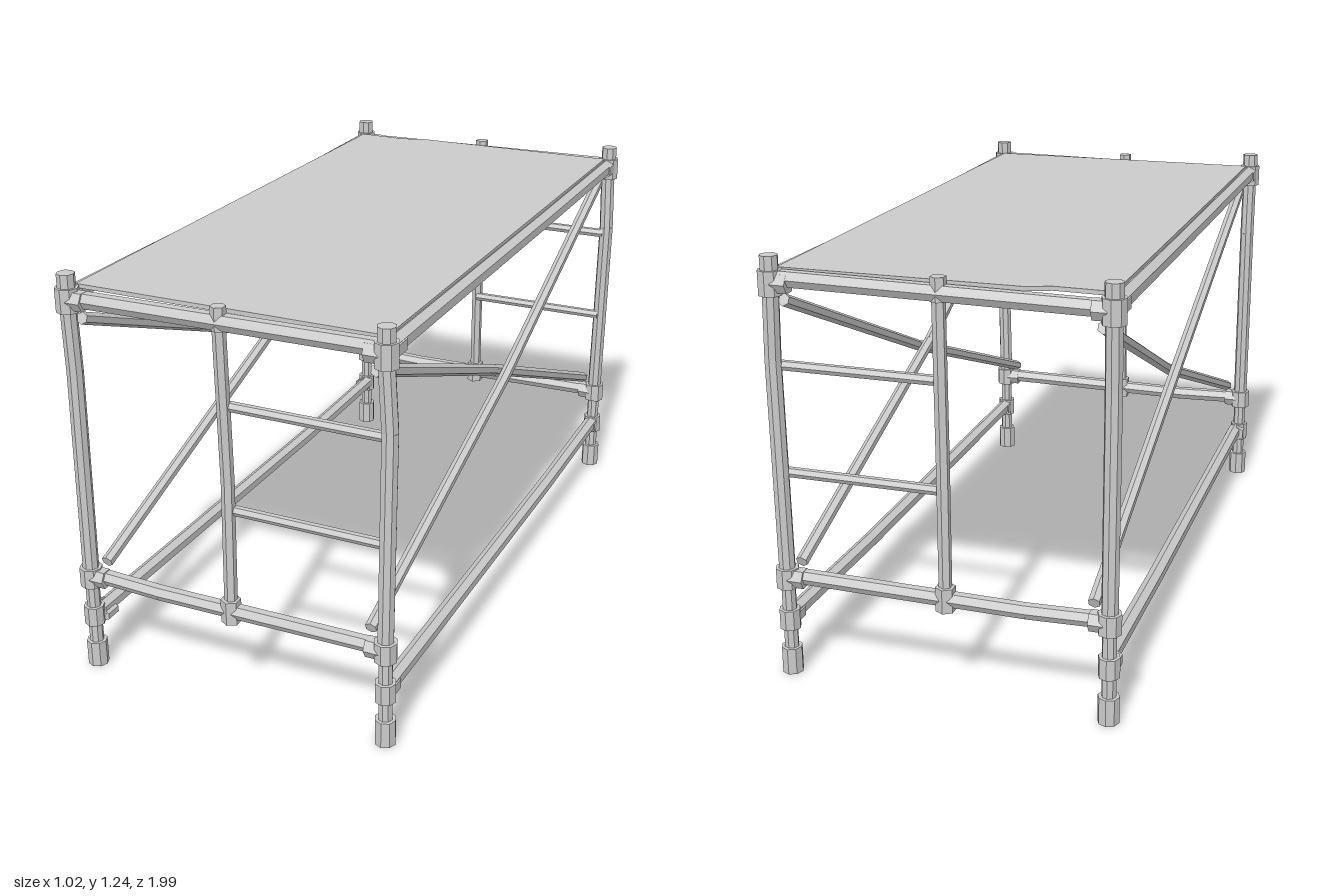
import * as THREE from 'three';

const mat = new THREE.MeshStandardMaterial({ color: 0xcccccc, flatShading: true });
const UP = new THREE.Vector3(0, 1, 0);

// Faceted bar through a few points
function bar(parent, name, points, radius, sides = 6) {
  const group = new THREE.Group();
  group.name = name;
  const pts = points.map(p => new THREE.Vector3(...p));
  for (let i = 0; i < pts.length - 1; i++) {
    const dir = pts[i + 1].clone().sub(pts[i]);
    const geo = new THREE.CylinderGeometry(radius, radius, dir.length(), sides);
    const mesh = new THREE.Mesh(geo, mat);
    mesh.name = name;
    mesh.position.copy(pts[i]).add(pts[i + 1]).multiplyScalar(0.5);
    mesh.quaternion.setFromUnitVectors(UP, dir.normalize());
    group.add(mesh);
  }
  parent.add(group);
}

export function createModel() {
  const model = new THREE.Group();
  model.name = 'scaffold';

  // Corner legs: foot, screw jack, collars, bent post and top spigot
  const X = 0.475;
  for (const sx of [-1, 1]) for (const sz of [-1, 1]) {
    const x = sx * X, z = sz * 0.963;
    const leg = new THREE.Group();
    leg.name = 'cornerLeg';
    const v = (name, y0, y1, r) => bar(leg, name, [[x, y0, z], [x, y1, z]], r, 8);
    v('foot', 0, 0.08, 0.031);
    v('jack', 0.08, 0.28, 0.021);
    v('lowerCollar', 0.14, 0.2, 0.031);
    v('middleCollar', 0.27, 0.33, 0.034);
    v('upperCollar', 1.13, 1.2, 0.034);
    v('spigot', 1.2, 1.24, 0.026);
    const bow = sx > 0 ? 0.008 : 0;
    bar(leg, 'post', [[x, 0.32, z], [x + bow, 0.95, z - sz * 0.006], [x, 1.14, z]], 0.024, 8);
    // Stubs gripping the rails
    for (const y of [0.3, 1.165]) bar(leg, 'endRailSocket', [[x, y, z], [x - sx * 0.055, y, z]], 0.03);
    bar(leg, 'sideRailSocket', [[x, 1.17, z], [x, 1.17, z - sz * 0.07]], 0.03);
    bar(leg, 'bottomRailSocket', [[x, 0.17, z], [x, 0.17, z - sz * 0.05]], 0.028);
    model.add(leg);
  }

  // End frames: two rails, a middle post and two rungs on the left half
  for (const sz of [-1, 1]) {
    const z = sz * 0.96;
    const frame = new THREE.Group();
    frame.name = sz > 0 ? 'frontFrame' : 'backFrame';
    bar(frame, 'lowerEndRail', [[-X, 0.305, z], [-0.24, 0.298, z], [X, 0.305, z]], 0.023);
    bar(frame, 'upperEndRail', [[-X, 1.168, z], [X, 1.178, z]], 0.025);
    bar(frame, 'middlePost', [[-0.005, 0.28, z], [-0.003, 0.7, z - sz * 0.008], [-0.005, 1.17, z]], 0.019);
    bar(frame, 'middleLowerClamp', [[-0.005, 0.265, z], [-0.005, 0.337, z]], 0.029);
    bar(frame, 'middleUpperClamp', [[-0.005, 1.15, z], [-0.005, 1.217, z]], 0.022);
    for (const y of [0.615, 0.928])
      bar(frame, 'rung', [[0, y, z - sz * 0.015], [X, y, z - sz * 0.015]], 0.015);
    model.add(frame);
  }

  // Long rails and crossed braces on both sides
  for (const sx of [-1, 1]) {
    const x = sx * X;
    const side = new THREE.Group();
    side.name = sx > 0 ? 'leftSide' : 'rightSide';
    const xLow = sx > 0 ? x : -0.465;
    bar(side, 'bottomRail', [[xLow, 0.177, 0.95], [xLow, 0.168, -0.4], [xLow, 0.177, -0.95]], 0.024);
    bar(side, 'topRail', [[x, 1.175, 0.95], [x - sx * 0.005, 1.168, -0.2], [x, 1.175, -0.95]], 0.026);
    const rise = sx > 0 ? 0.442 : 0.405, fall = sx > 0 ? 0.405 : 0.438;
    bar(side, 'risingBrace', [[sx * 0.425, 0.35, 0.95], [sx * rise, 0.715, -0.02], [sx * 0.445, 1.115, -0.95]], 0.018);
    bar(side, 'fallingBrace', [[sx * 0.442, 1.11, 0.95], [sx * fall, 0.735, -0.02], [sx * 0.43, 0.35, -0.96]], 0.018);
    model.add(side);
  }

  // Deck board with a trimmed back corner
  const outline = [[-0.465, 0.935], [0.465, 0.935], [0.465, -0.94], [-0.23, -0.94], [-0.3, -0.915], [-0.465, -0.92]];
  const shape = new THREE.Shape(outline.map(([x, z]) => new THREE.Vector2(x, -z)));
  const deckGeo = new THREE.ExtrudeGeometry(shape, { depth: 0.012, bevelEnabled: false });
  deckGeo.rotateX(-Math.PI / 2);
  const deck = new THREE.Mesh(deckGeo, mat);
  deck.name = 'deck';
  deck.position.y = 1.19;
  model.add(deck);

  // Lock knob on the front right jack
  bar(model, 'lockKnob', [[-0.45, 0.16, 0.95], [-0.45, 0.16, 0.9]], 0.018);
  return model;
}
